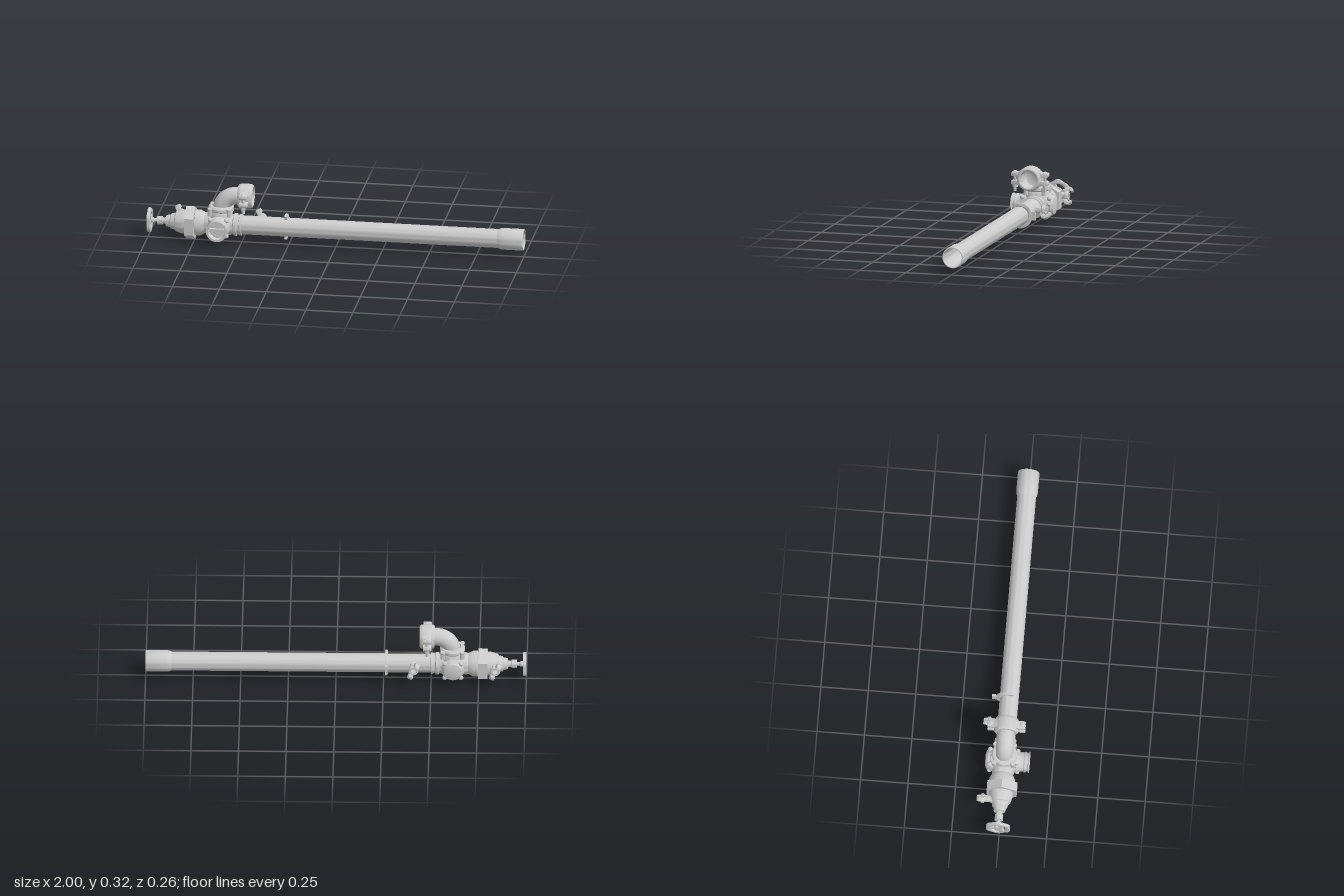
import * as THREE from 'three';
import { toCreasedNormals } from 'three/addons/utils/BufferGeometryUtils.js';

const AX_Y = 0.096, AX_Z = -0.006; // main axis height and depth
const PORT_X = -0.615;             // valve centre
const OUT_Y = 0.258;               // elbow outlet height

export function createModel() {
  const model = new THREE.Group();
  const mat = new THREE.MeshStandardMaterial({ color: 0xcccccc, side: THREE.DoubleSide });

  function add(name, geo, parent = model, x = 0, y = 0, z = 0) {
    const m = new THREE.Mesh(geo, mat);
    m.name = name;
    m.position.set(x, y, z);
    parent.add(m);
    return m;
  }
  // Turned part: points are [position along axis, radius]
  function turned(name, axis, pts, parent, x, y, z, sides = 40) {
    const g = new THREE.LatheGeometry(pts.map(([t, r]) => new THREE.Vector2(r, t)), sides);
    if (axis === 'x') g.rotateZ(-Math.PI / 2);
    if (axis === 'z') g.rotateX(Math.PI / 2);
    return add(name, toCreasedNormals(g, 0.6), parent, x, y, z);
  }
  // Flat plate lying in the y-z plane, thickness along x
  function plate(shape, depth, bevel = 0.003) {
    const g = new THREE.ExtrudeGeometry(shape, {
      depth: depth - 2 * bevel, bevelSize: bevel, bevelThickness: bevel, bevelSegments: 2, curveSegments: 24,
    });
    g.translate(0, 0, -depth / 2 + bevel);
    g.rotateY(Math.PI / 2);
    return toCreasedNormals(g, 0.6);
  }
  function arcShape(r0, r1, a0, a1) {
    const s = new THREE.Shape();
    s.absarc(0, 0, r1, a0, a1, false);
    s.absarc(0, 0, r0, a1, a0, true);
    s.closePath();
    return s;
  }
  const onAxis = (name, pts, sides) => turned(name, 'x', pts, model, 0, AX_Y, AX_Z, sides);

  // Long pipe and end socket
  onAxis('pipe', [[-0.56, 0.05], [0.9, 0.05]]);
  onAxis('endSocket', [[0.86, 0.049], [0.875, 0.055], [0.89, 0.057], [0.995, 0.057], [1, 0.055], [1, 0.051], [0.9, 0.049]]);
  onAxis('pipeFlange', [[-0.545, 0.05], [-0.54, 0.06], [-0.525, 0.06], [-0.522, 0.053], [-0.512, 0.053], [-0.51, 0.057], [-0.5, 0.057], [-0.498, 0.05]]);

  // Half-ring bracket wrapped round the back of the pipe
  const bracket = new THREE.Group();
  bracket.name = 'pipeBracket';
  bracket.position.set(-0.265, AX_Y + 0.003, AX_Z - 0.002);
  model.add(bracket);
  add('bracketArc', plate(arcShape(0.05, 0.066, -1.95, 1.95), 0.014), bracket);
  add('bracketLug', new THREE.BoxGeometry(0.012, 0.045, 0.03), bracket, 0, 0, -0.073);

  // Valve body: three crossing barrels
  onAxis('valveBarrel', [[-0.75, 0.05], [-0.745, 0.068], [-0.72, 0.068], [-0.695, 0.055], [-0.68, 0.059], [-0.56, 0.057], [-0.54, 0.05]]);
  turned('sidePort', 'z', [[-0.103, 0], [-0.103, 0.03], [-0.098, 0.047], [-0.088, 0.054], [-0.078, 0.054], [-0.072, 0.06],
    [0.062, 0.06], [0.07, 0.057], [0.078, 0.052], [0.1, 0.052], [0.104, 0.055], [0.11, 0.055], [0.113, 0.05], [0.122, 0.05],
    [0.125, 0.056], [0.13, 0.056], [0.13, 0.045], [0.095, 0.043], [0.095, 0]], model, PORT_X, AX_Y, 0);
  add('portBar', new THREE.BoxGeometry(0.082, 0.014, 0.018), model, PORT_X, AX_Y + 0.004, 0.109);
  add('portBarPost', new THREE.BoxGeometry(0.014, 0.08, 0.012), model, PORT_X, AX_Y, 0.102);
  turned('topBarrel', 'y', [[0.08, 0.062], [0.165, 0.062], [0.172, 0.058], [0.18, 0.066], [0.193, 0.066], [0.2, 0.06], [0.202, 0.046]], model, -0.612, 0, -0.004);

  // Collar bolts and corner bosses round the valve
  for (let i = 0; i < 4; i++) {
    const a = Math.PI / 4 + i * Math.PI / 2, c = Math.cos(a), s = Math.sin(a);
    turned('collarBolt', 'y', [[0.155, 0.012], [0.185, 0.012], [0.19, 0.014], [0.196, 0.012], [0.199, 0]], model, -0.612 + c * 0.072, 0, -0.004 + s * 0.07, 12);
    for (const z of [-0.08, 0.066])
      add('bodyBoss', new THREE.SphereGeometry(0.013, 14, 10), model, PORT_X + c * 0.06, AX_Y + s * 0.06, z);
  }

  // Elbow rising from the valve and turning along the pipe
  const elbow = new THREE.CurvePath();
  const v = (x, y) => new THREE.Vector3(x, y, -0.003);
  elbow.add(new THREE.LineCurve3(v(-0.608, 0.15), v(-0.608, 0.178)));
  elbow.add(new THREE.CubicBezierCurve3(v(-0.608, 0.178), v(-0.608, 0.222), v(-0.572, OUT_Y), v(-0.528, OUT_Y)));
  elbow.add(new THREE.LineCurve3(v(-0.528, OUT_Y), v(-0.45, OUT_Y)));
  add('elbow', new THREE.TubeGeometry(elbow, 40, 0.046, 32));

  // Split clamp on the elbow outlet
  const clamp = new THREE.Group();
  clamp.name = 'outletClamp';
  clamp.position.set(-0.48, OUT_Y, -0.003);
  model.add(clamp);
  turned('clampRing', 'x', [[-0.038, 0.046], [-0.038, 0.058], [-0.032, 0.063], [-0.02, 0.065], [0.02, 0.065], [0.032, 0.063],
    [0.039, 0.058], [0.041, 0.052], [0.039, 0.047], [-0.038, 0.046]], clamp);
  for (const side of [-1, 1]) {
    for (const up of [-1, 1]) {
      const ear = new THREE.Shape();
      ear.moveTo(-0.045, 0.012);
      ear.lineTo(-0.095, 0.014);
      ear.quadraticCurveTo(-0.1, 0.022, -0.095, 0.03);
      ear.lineTo(-0.066, 0.03);
      ear.lineTo(-0.045, 0.045);
      const m = add('clampEar', plate(ear, 0.044), clamp);
      m.rotation.x = up < 0 ? Math.PI : 0;
      if (up * side > 0) m.rotation.y = Math.PI;
    }
    turned('clampBolt', 'y', [[-0.07, 0], [-0.07, 0.008], [0.028, 0.008], [0.028, 0.015], [0.034, 0.014], [0.039, 0.008], [0.04, 0]], clamp, 0, 0, side * 0.082, 16);
    add('clampNut', new THREE.CylinderGeometry(0.014, 0.014, 0.016, 6), clamp, 0, -0.041, side * 0.082);
  }

  // Hexagonal union, points up and down
  const hex = new THREE.CylinderGeometry(0.091, 0.091, 0.048, 6);
  hex.rotateZ(-Math.PI / 2);
  hex.computeBoundingBox();
  if (hex.boundingBox.max.y < 0.085) hex.rotateX(Math.PI / 6);
  add('hexUnion', toCreasedNormals(hex, 0.5), model, -0.772, 0.0945, AX_Z + 0.003);

  // Bonnet, gland and stem
  onAxis('bonnet', [[-0.985, 0.01], [-0.95, 0.01], [-0.95, 0.022], [-0.922, 0.022], [-0.92, 0.016], [-0.905, 0.018], [-0.902, 0.03],
    [-0.88, 0.034], [-0.876, 0.04], [-0.855, 0.045], [-0.85, 0.053], [-0.815, 0.063], [-0.79, 0.064]]);

  // Handwheel with wavy rim and spokes
  const wheel = new THREE.Shape();
  for (let i = 0; i < 72; i++) {
    const a = i / 72 * Math.PI * 2, r = 0.061 + 0.003 * Math.cos(6 * a);
    wheel[i ? 'lineTo' : 'moveTo'](r * Math.sin(a), r * Math.cos(a));
  }
  for (let i = 0; i < 3; i++) {
    const a = i * Math.PI * 2 / 3 + 0.3, hole = new THREE.Path();
    hole.absarc(0, 0, 0.047, a, a + 1.6, false);
    hole.absarc(0, 0, 0.021, a + 1.45, a + 0.15, true);
    hole.closePath();
    wheel.holes.push(hole);
  }
  add('handwheel', plate(wheel, 0.018, 0.004), model, -0.991, AX_Y, AX_Z);
  onAxis('wheelHub', [[-0.999, 0], [-0.999, 0.014], [-0.97, 0.015], [-0.965, 0.01]], 20);

  // Rear hose connectors with two hooked claws
  for (const x of [-0.838, -0.408]) {
    const c = new THREE.Group();
    c.name = 'clawConnector';
    c.position.set(x, 0.107, 0);
    model.add(c);
    turned('connectorNeck', 'z', [[-0.11, 0.013], [-0.11, 0.023], [-0.104, 0.026], [-0.093, 0.026], [-0.088, 0.019], [-0.06, 0.019], [-0.03, 0.024]], c, 0, 0, 0, 24);
    for (const s of [-1, 1]) {
      const claw = new THREE.Shape();
      claw.moveTo(-0.085, 0.02);
      claw.lineTo(-0.092, 0.04);
      claw.quadraticCurveTo(-0.1, 0.048, -0.115, 0.046);
      claw.quadraticCurveTo(-0.13, 0.042, -0.128, 0.026);
      claw.lineTo(-0.119, 0.026);
      claw.quadraticCurveTo(-0.118, 0.034, -0.109, 0.034);
      claw.lineTo(-0.104, 0.02);
      // Shape x maps to -z, so mirror it to point backwards
      const g = plate(claw, 0.024, 0.002);
      g.rotateY(Math.PI);
      const m = add('claw', g, c);
      m.rotation.z = (s > 0 ? 0 : Math.PI) + 0.5;
    }
  }
  return model;
}
